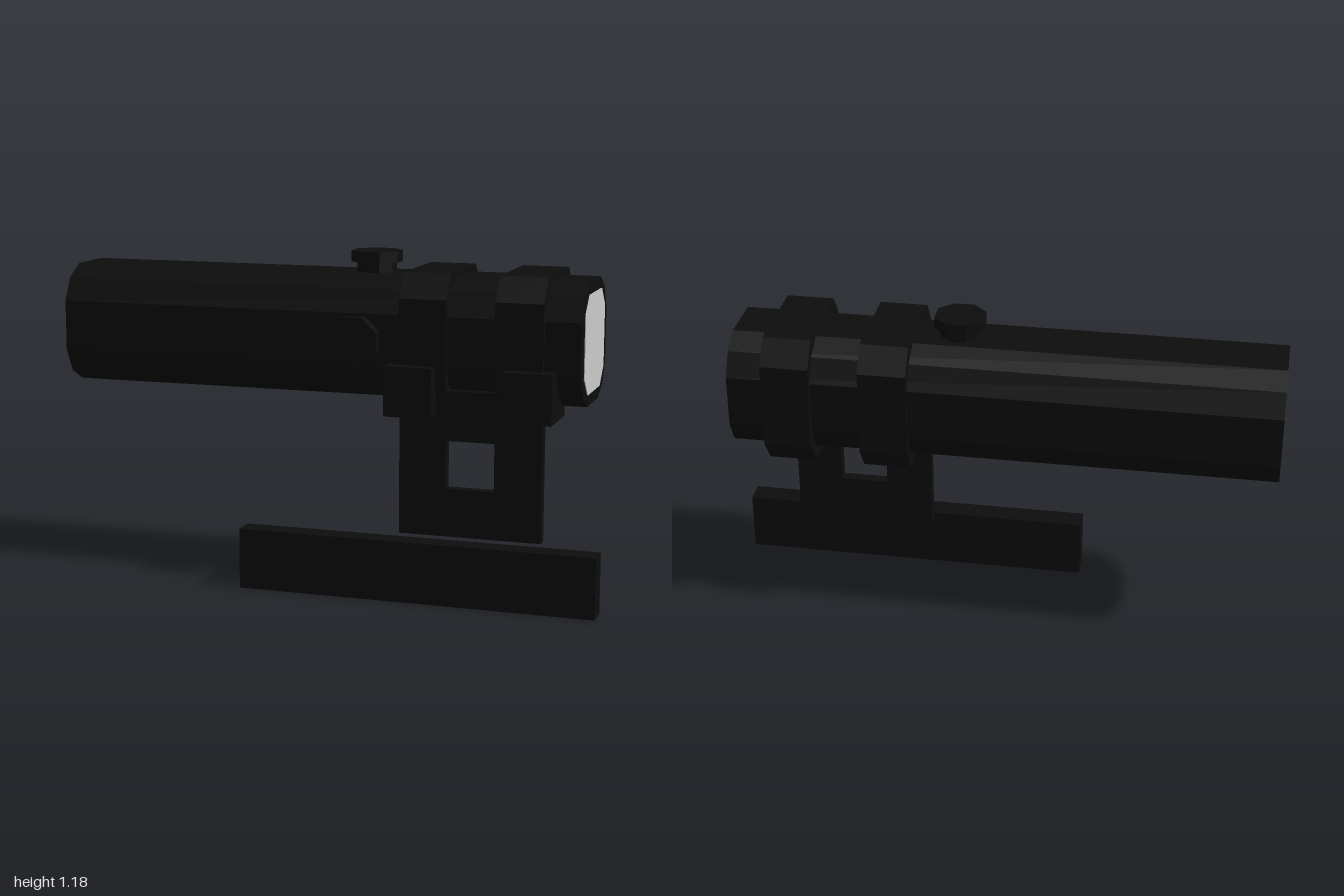
import * as THREE from 'three';

export function createModel() {
  const model = new THREE.Group();
  const black = new THREE.MeshStandardMaterial({ color: 0x0d0d0d, flatShading: true });
  black.name = 'matte black';
  const lensGrey = new THREE.MeshStandardMaterial({ color: 0xcccccc, flatShading: true });
  lensGrey.name = 'lens grey';

  const AXIS_Y = 0.895, AXIS_Z = -0.055;

  function add(name, geometry, material = black) {
    const mesh = new THREE.Mesh(geometry, material);
    mesh.name = name;
    model.add(mesh);
    return mesh;
  }

  // Box given by its limits on each axis
  function box(name, x0, x1, y0, y1, z0, z1) {
    add(name, new THREE.BoxGeometry(x1 - x0, y1 - y0, z1 - z0))
      .position.set((x0 + x1) / 2, (y0 + y1) / 2, (z0 + z1) / 2);
  }

  // Closed outline from one quadrant, listed from the top round to the side
  function mirroredShape(quadrant) {
    const back = [...quadrant].reverse();
    return new THREE.Shape([
      ...quadrant.map(([a, b]) => [a, b]),
      ...back.map(([a, b]) => [a, -b]),
      ...quadrant.map(([a, b]) => [-a, -b]),
      ...back.map(([a, b]) => [-a, b]),
    ].map(([a, b]) => new THREE.Vector2(a, b)));
  }

  // Prism lying along x
  function prismX(name, quadrant, x0, x1, material) {
    const geometry = new THREE.ExtrudeGeometry(mirroredShape(quadrant),
      { depth: x1 - x0, bevelEnabled: false });
    geometry.rotateY(Math.PI / 2);
    add(name, geometry, material).position.set(x0, AXIS_Y, AXIS_Z);
  }

  // Tube, clamp rings and lens
  prismX('tube', [[0.095, 0.215], [0.172, 0.172], [0.215, 0.09]], -1, 0.91);
  const ring = [[0.17, 0.235], [0.232, 0.15]];
  prismX('rearClampRing', ring, 0.275, 0.443);
  prismX('frontClampRing', ring, 0.615, 0.783);
  prismX('lens', [[0.106, 0.173], [0.17, 0.109]], 0.906, 0.913, lensGrey);

  // Adjustment knobs: eight-sided stem and cap, built upright from the tube axis
  function knob(name, tilt) {
    const group = new THREE.Group();
    group.name = name;
    for (const [part, half, y0, y1] of [['stem', 0.065, 0.19, 0.255], ['cap', 0.085, 0.25, 0.29]]) {
      const geometry = new THREE.CylinderGeometry(half / Math.cos(Math.PI / 8),
        half / Math.cos(Math.PI / 8), y1 - y0, 8);
      geometry.rotateY(Math.PI / 8);
      const mesh = new THREE.Mesh(geometry, black);
      mesh.name = part;
      mesh.position.y = (y0 + y1) / 2;
      group.add(mesh);
    }
    group.position.set(0.125, AXIS_Y, AXIS_Z);
    group.rotation.x = tilt;
    model.add(group);
  }
  knob('topKnob', 0);
  knob('sideKnob', Math.PI / 2);

  // Clamp feet under the rings
  box('rearClampFoot', 0.235, 0.405, 0.64, 0.815, 0.01, 0.225);
  box('frontClampFoot', 0.655, 0.825, 0.64, 0.815, 0.01, 0.225);

  // Upright mounting plate with a square window
  const rectangle = (x0, x1, y0, y1) =>
    [[x0, y0], [x1, y0], [x1, y1], [x0, y1]].map(([x, y]) => new THREE.Vector2(x, y));
  const plate = new THREE.Shape(rectangle(0.275, 0.783, 0.215, 0.73));
  plate.holes.push(new THREE.Path(rectangle(0.443, 0.615, 0.385, 0.555).reverse()));
  add('mountPlate', new THREE.ExtrudeGeometry(plate, { depth: 0.04, bevelEnabled: false }))
    .position.z = 0.12;

  // Side rail
  box('sideRail', -0.277, 1, 0, 0.215, 0.203, 0.287);

  return model;
}
